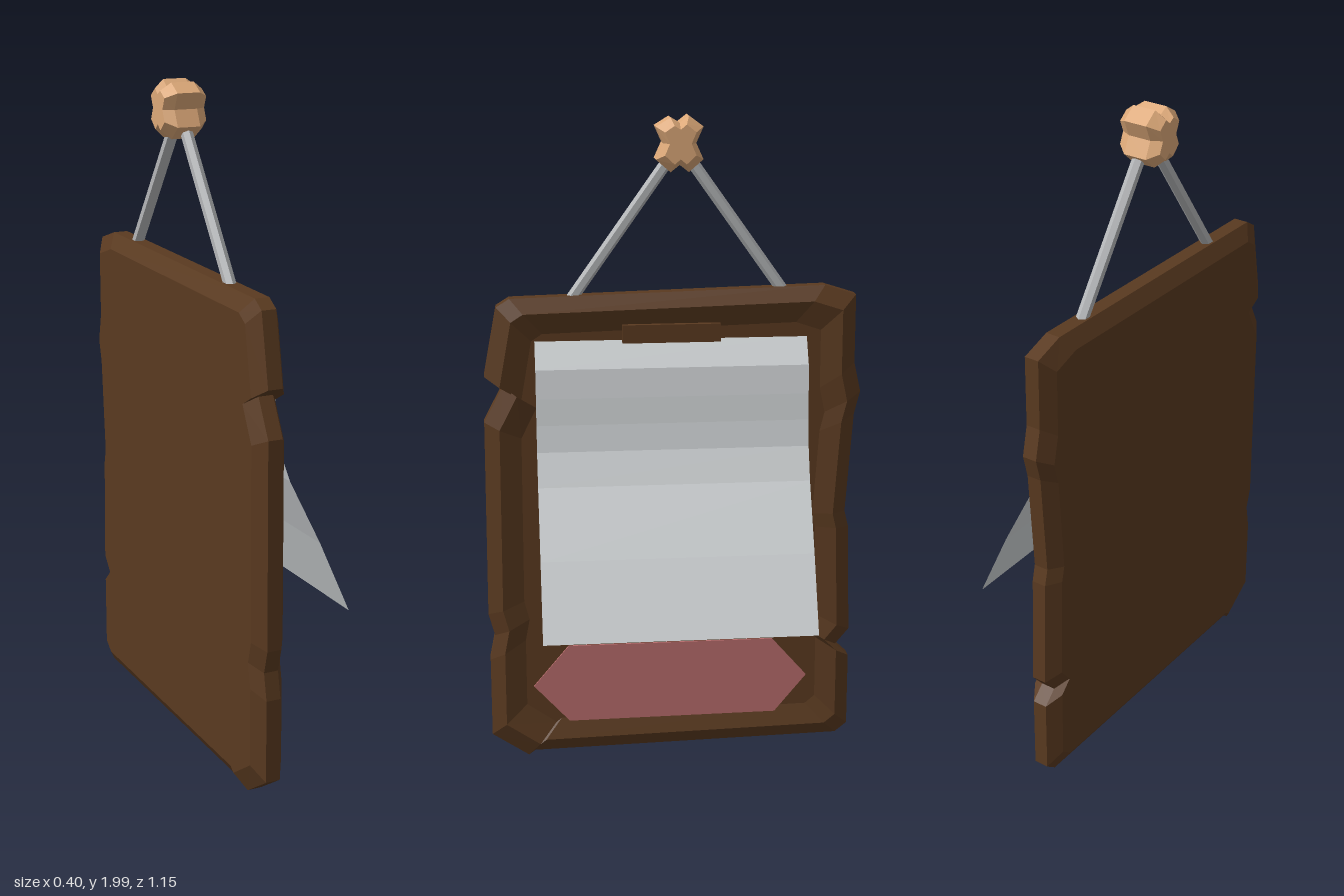
import * as THREE from 'three';

const mat = (name, color, extra = {}) => {
  const m = new THREE.MeshStandardMaterial({ color, flatShading: true, ...extra });
  m.name = name;
  return m;
};

// Lofts an outline of [z, y] points (counter-clockwise seen from +x) along x.
// Each ring is [x, inset]: the outline shrinks towards its centre by that inset.
function loft(points, [cz, cy], [halfZ, halfY], rings) {
  const n = points.length, pos = [], idx = [];
  for (const [x, d] of rings) {
    for (const [z, y] of points) {
      pos.push(x, cy + (y - cy) * (1 - d / halfY), cz + (z - cz) * (1 - d / halfZ));
    }
  }
  for (let r = 0; r < rings.length - 1; r++) {
    for (let i = 0; i < n; i++) {
      const j = (i + 1) % n, a = r * n, b = a + n;
      idx.push(a + i, a + j, b + j, a + i, b + j, b + i);
    }
  }
  const flat = points.map(([z, y]) => new THREE.Vector2(-z, y));
  const last = (rings.length - 1) * n;
  for (const [a, b, c] of THREE.ShapeUtils.triangulateShape(flat, [])) {
    idx.push(last + a, last + b, last + c, a, c, b);
  }
  const g = new THREE.BufferGeometry();
  g.setAttribute('position', new THREE.Float32BufferAttribute(pos, 3));
  g.setIndex(idx);
  const out = g.toNonIndexed();
  out.computeVertexNormals();
  return out;
}

export function createModel() {
  const group = new THREE.Group();
  const wood = mat('dark wood', 0x5a3a20);
  const peg = mat('light wood', 0xdca878);
  const metal = mat('cord grey', 0xb4b6b8);
  const paper = mat('paper', 0xd4d8da, { side: THREE.DoubleSide });
  const pink = mat('pink label', 0xb86c6c);
  const add = (name, geometry, material) => {
    const m = new THREE.Mesh(geometry, material);
    m.name = name;
    group.add(m);
    return m;
  };

  // Chipped board with bevelled rim and shallow recessed front
  const outline = [
    [0.49, 1.465], [0.53, 1.44], [0.57, 1.23], [0.515, 1.2], [0.573, 1.09],
    [0.576, 0.48], [0.557, 0.41], [0.573, 0.33], [0.573, 0.08], [0.46, 0.005],
    [0.44, 0.02], [-0.52, 0.04], [-0.557, 0.07], [-0.557, 0.3], [-0.515, 0.34],
    [-0.557, 0.39], [-0.547, 0.73], [-0.535, 0.78], [-0.557, 1.09], [-0.575, 1.16],
    [-0.555, 1.25], [-0.555, 1.46], [-0.46, 1.49],
  ];
  add('board', loft(outline, [0, 0.75], [0.57, 0.74], [
    [-0.18, 0.045], [-0.152, 0], [-0.108, 0], [-0.08, 0.045], [-0.1, 0.11],
  ]), wood);

  // Clip over the top of the sheet
  add('clip', new THREE.BoxGeometry(0.045, 0.055, 0.295), wood).position.set(-0.0985, 1.357, 0.008);

  // Curling sheet
  const profile = [
    [-0.102, 1.34], [-0.058, 1.257], [-0.05, 1.17], [-0.045, 1.09],
    [-0.035, 1.01], [0, 0.91], [0.1, 0.71], [0.2, 0.485],
  ];
  const sheet = new THREE.PlaneGeometry(1, 1, 1, profile.length - 1);
  const p = sheet.attributes.position;
  for (let i = 0; i < p.count; i++) {
    const [x, y] = profile[i >> 1];
    p.setXYZ(i, x, y, i % 2 ? -0.405 : 0.418);
  }
  sheet.computeVertexNormals();
  add('paperSheet', sheet, paper);

  // Label plate
  const label = [[0.44, 0.24], [0.33, 0.12], [-0.32, 0.125], [-0.42, 0.245], [-0.31, 0.37], [0.33, 0.37]];
  add('label', loft(label, [0.01, 0.245], [0.43, 0.125], [[-0.101, 0], [-0.094, 0]]), pink);

  // Hanging peg with a cross-shaped section
  const section = [
    [5, 14], [13, 9], [9, 0], [13, -9], [5, -16], [0, -12],
    [-5, -16], [-13, -9], [-9, 0], [-13, 9], [-5, 15], [0, 11],
  ].map(([z, y]) => [-0.018 + z * 0.0054, 1.918 + y * 0.0053]);
  add('hangingPeg', loft(section, [-0.018, 1.918], [0.07, 0.08], [
    [-0.2, 0.024], [-0.17, 0], [-0.1, 0], [-0.07, 0.024],
  ]), peg);

  // Two cords from peg to board
  for (const [name, zTop, zEnd] of [['leftCord', 0.0, 0.31], ['rightCord', -0.04, -0.35]]) {
    const a = new THREE.Vector3(-0.13, 1.885, zTop), b = new THREE.Vector3(-0.13, 1.45, zEnd);
    const cord = add(name, new THREE.CylinderGeometry(0.018, 0.018, a.distanceTo(b), 6), metal);
    cord.position.copy(a).add(b).multiplyScalar(0.5);
    cord.quaternion.setFromUnitVectors(new THREE.Vector3(0, 1, 0), a.clone().sub(b).normalize());
  }
  return group;
}
